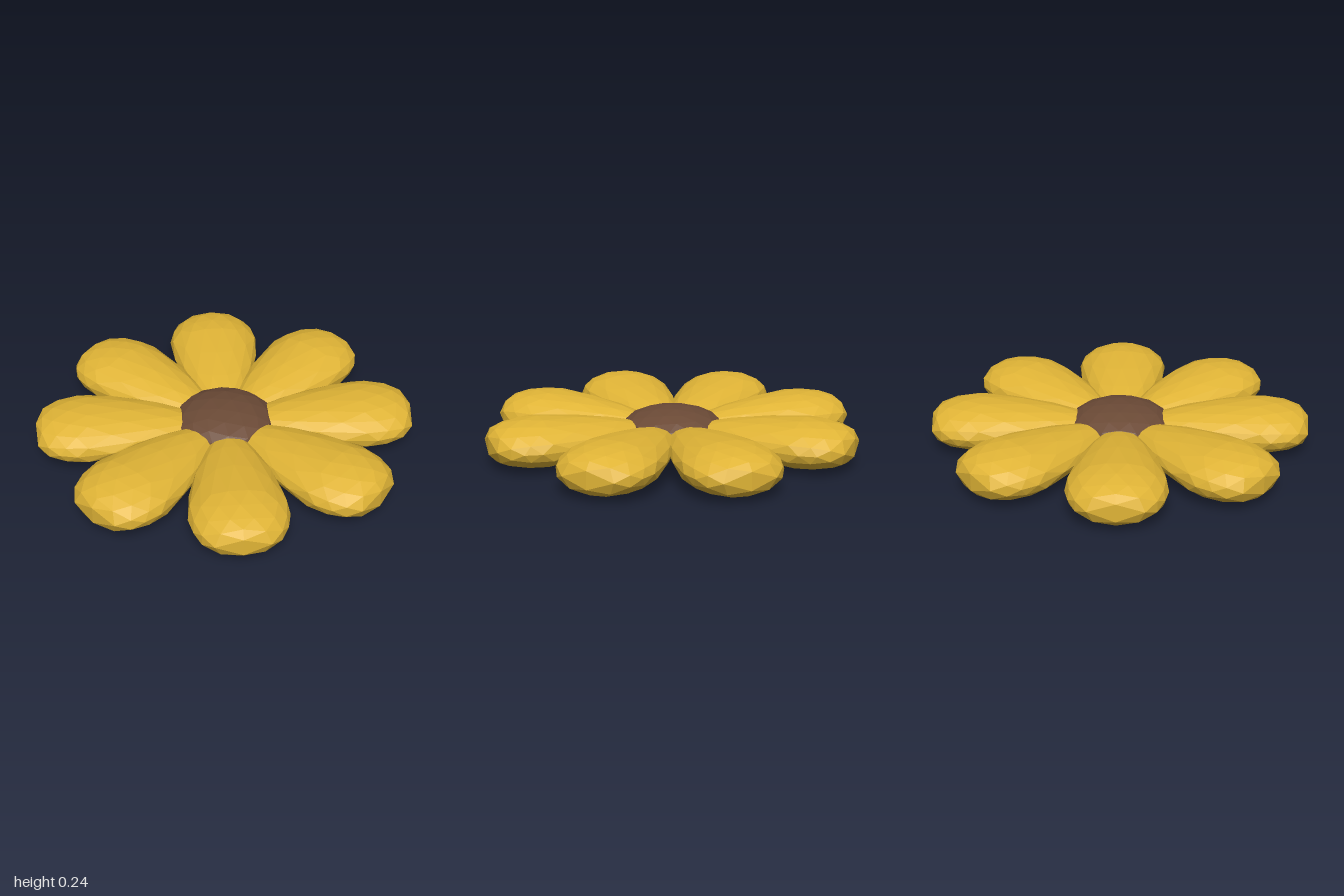
import * as THREE from 'three';

const PETALS = 8;
const MID_Y = 0.12; // height of the flower's mid plane

// Low-poly egg along +z: blunt outer end, tapering towards the flower's middle
function petalGeometry() {
  const geometry = new THREE.IcosahedronGeometry(1, 2);
  const pos = geometry.attributes.position;
  const v = new THREE.Vector3();
  for (let i = 0; i < pos.count; i++) {
    v.fromBufferAttribute(pos, i);
    const around = Math.max(Math.hypot(v.x, v.y), 1e-4);
    const swell = v.z > 0 ? Math.pow(around, -0.4) : 1 + 0.3 * v.z;
    const reach = v.z > 0 ? 0.28 : 0.62;
    pos.setXYZ(i, v.x * swell * 0.253, v.y * swell * 0.122, 0.725 + v.z * reach);
  }
  // Fit the facets to the exact petal size
  geometry.computeBoundingBox();
  const { min, max } = geometry.boundingBox;
  geometry.scale(0.25 / max.x, MID_Y / max.y, 1);
  geometry.translate(0, 0, 1 - max.z);
  geometry.computeVertexNormals();
  return geometry;
}

export function createModel() {
  const flower = new THREE.Group();
  flower.name = 'flower';
  const gold = new THREE.MeshStandardMaterial({ color: 0xe0b436, flatShading: true });
  const brown = new THREE.MeshStandardMaterial({ color: 0x6b4a36, flatShading: true });

  // Ring of petals
  const geometry = petalGeometry();
  for (let i = 0; i < PETALS; i++) {
    const petal = new THREE.Mesh(geometry, gold);
    petal.name = `petal${i + 1}`;
    petal.position.y = MID_Y;
    petal.rotation.y = (i / PETALS) * Math.PI * 2;
    flower.add(petal);
  }

  // Flattened seed disc, domed above and below
  const disc = new THREE.IcosahedronGeometry(1, 2);
  disc.scale(0.27, 0.108, 0.27);
  const centre = new THREE.Mesh(disc, brown);
  centre.name = 'centre';
  centre.position.y = MID_Y;
  flower.add(centre);

  return flower;
}
